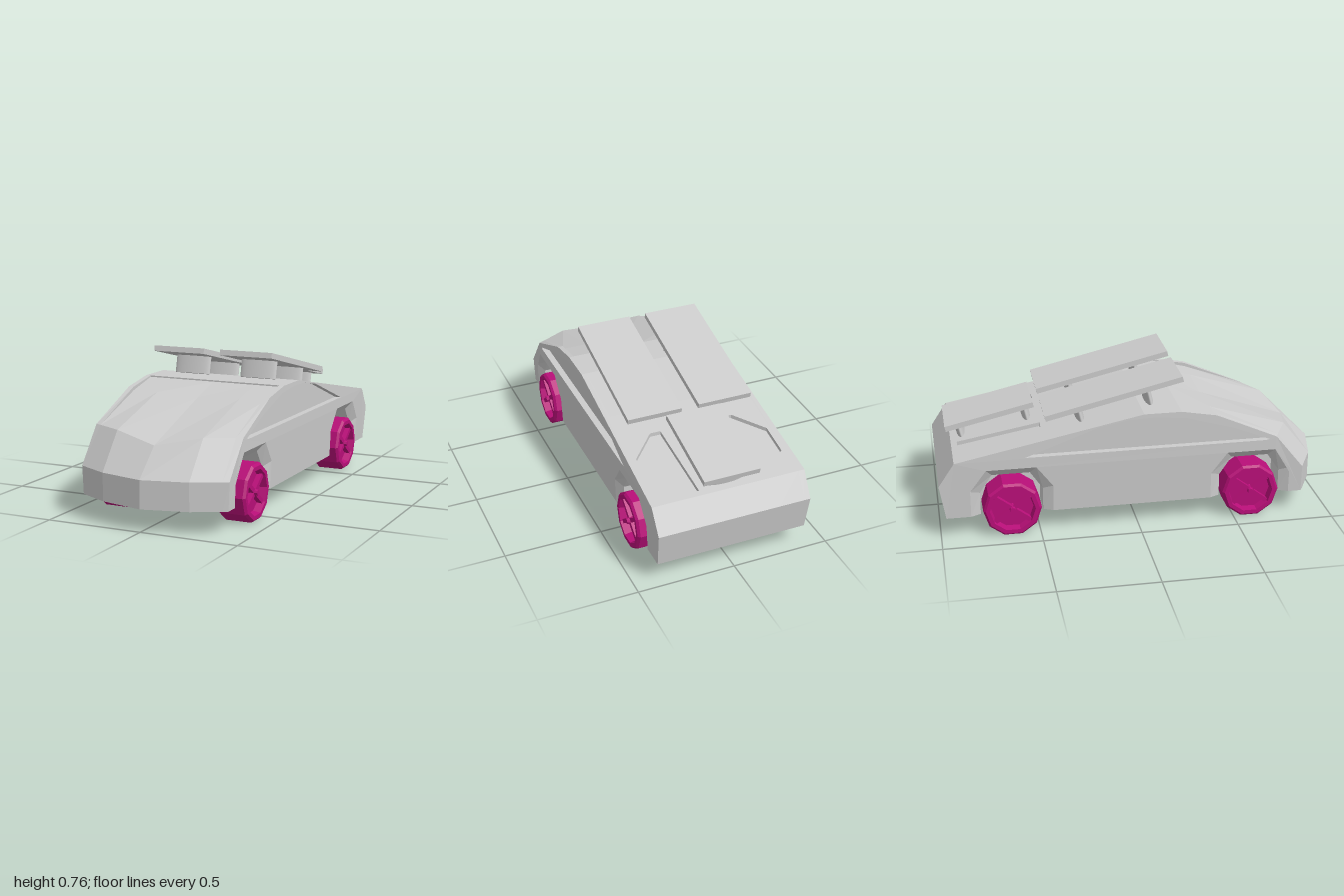
import * as THREE from 'three';

const grey = new THREE.MeshStandardMaterial({ color: 0xcccccc, flatShading: true, side: THREE.DoubleSide });
const smoothGrey = new THREE.MeshStandardMaterial({ color: 0xcccccc });
const pink = new THREE.MeshStandardMaterial({ color: 0xb80f78, flatShading: true });

const AXLES = [0.585, -0.64];
const RIM = 0.365; // inner face of the side panels
const deckY = z => 0.6 - 0.2 * (0.03 - z);
const points = list => list.map(([a, b]) => new THREE.Vector2(a, b));

function add(parent, name, geometry, material) {
  const mesh = new THREE.Mesh(geometry, material);
  mesh.name = name;
  parent.add(mesh);
  return mesh;
}

// Side profile in (z, y), with optional wheel arches and sunken windscreen and deck
function profile(arches, sunken) {
  const p = [[1, 0.11], [1, 0.25], [0.855, 0.43]];
  if (sunken) {
    p.push([0.4, 0.55], [0.22, 0.593], [0.22, 0.6], [0.03, 0.6], [-0.3, deckY(-0.3)],
      [-0.3, deckY(-0.3) - 0.02], [-0.9, deckY(-0.9) - 0.02], [-0.9, deckY(-0.9)]);
  } else {
    p.push([0.4, 0.568], [0.22, 0.6], [0.03, 0.6]);
  }
  p.push([-0.92, 0.41], [-1, 0.29], [-0.97, 0.11]);
  if (arches) {
    for (const c of [...AXLES].reverse()) {
      for (const [dz, y] of [[-0.207, 0.11], [-0.207, 0.25], [-0.125, 0.36], [0.125, 0.36], [0.207, 0.25], [0.207, 0.11]]) {
        p.push([c + dz, y]);
      }
    }
  }
  return new THREE.Shape(points(p));
}

// One lengthwise slice of the body between x0 and x1, shaped by a vertex rule
function slice(shape, x0, x1) {
  const g = new THREE.ExtrudeGeometry(shape, { depth: x1 - x0, bevelEnabled: false });
  g.rotateY(-Math.PI / 2).translate(x1, 0, 0);
  const pos = g.attributes.position;
  for (let i = 0; i < pos.count; i++) {
    let x = pos.getX(i), y = pos.getY(i), z = pos.getZ(i);
    const ax = Math.abs(x);
    // wheel arches narrow inwards
    for (const c of AXLES) {
      if (y < 0.37 && Math.abs(z - c) < 0.22 && ax < 0.38) {
        z = c + (z - c) * 0.76;
        y = 0.11 + (y - 0.11) * 0.84;
      }
    }
    // shallow valley along the middle of the bonnet
    if (ax < 0.001 && z > 0.3 && y > 0.4) y -= z > 0.8 ? 0.045 : 0.01;
    // nose swept back towards the sides
    if (z > 0.82) z -= ax < 0.22 ? ax * 0.227 : 0.05 + (ax - 0.22) * 0.514;
    // slight bulge of the flanks
    if (ax > 0.39) x = Math.sign(x) * (0.4 - 0.04 * Math.abs(y - 0.38));
    pos.setXYZ(i, x, y, z);
  }
  g.computeVertexNormals();
  return g;
}

function buildBody() {
  const body = new THREE.Group();
  body.name = 'body';

  const panel = profile(true, false);
  panel.holes.push(new THREE.Path(points([[0.69, 0.415], [0.4, 0.53], [0.24, 0.566], [0.08, 0.58],
    [-0.05, 0.575], [-0.2, 0.547], [-0.57, 0.415]])));

  for (const s of [1, -1]) {
    const strip = (name, shape, a, b) => add(body, name, slice(shape, Math.min(s * a, s * b), Math.max(s * a, s * b)), grey);
    strip('bodyCore', profile(false, true), 0, 0.23);
    strip('wheelHousing', profile(true, true), 0.23, RIM);
    strip('sidePanel', panel, RIM, 0.395);
  }

  // Rear deck plate with two recessed openings, following the roof slope
  const deck = new THREE.Shape(points([[-RIM, 0.3], [RIM, 0.3], [RIM, 0.9], [-RIM, 0.9]]));
  for (const s of [1, -1]) {
    deck.holes.push(new THREE.Path(points([[0.165, 0.47], [0.22, 0.47], [0.35, 0.61],
      [0.35, 0.77], [0.22, 0.89], [0.145, 0.89]].map(([x, y]) => [s * x, y]))));
  }
  const g = new THREE.ExtrudeGeometry(deck, { depth: 0.02, bevelEnabled: false });
  g.rotateX(-Math.PI / 2);
  const pos = g.attributes.position;
  for (let i = 0; i < pos.count; i++) pos.setY(i, pos.getY(i) - 0.02 + deckY(pos.getZ(i)));
  g.computeVertexNormals();
  add(body, 'rearDeck', g, grey);
  return body;
}

// Tilted flat panel on two oval posts
function buildRoofPanel(name, x, y, z, width, length, postOffsets, tilt) {
  const group = new THREE.Group();
  group.name = name;
  add(group, 'panelBoard', new THREE.BoxGeometry(width, 0.028, length), grey);
  for (const dz of postOffsets) {
    const post = new THREE.CylinderGeometry(0.1, 0.1, 0.1, 32).scale(1, 1, 0.22);
    add(group, 'panelPost', post, smoothGrey).position.set(0, -0.055, dz);
  }
  group.position.set(x, y, z);
  group.rotation.x = -tilt;
  return group;
}

// Ten-sided wheel with a hollow face and crossed spokes, facing +x
function buildWheel() {
  const wheel = new THREE.Group();
  wheel.name = 'wheel';
  const section = points([[0, -0.078], [0.136, -0.078], [0.147, -0.066], [0.147, 0.066],
    [0.136, 0.078], [0.115, 0.078], [0.107, 0.04], [0, 0.04]]);
  add(wheel, 'tyre', new THREE.LatheGeometry(section, 10).rotateZ(-Math.PI / 2), pink);
  for (const a of [0.65, -0.65]) {
    add(wheel, 'spoke', new THREE.BoxGeometry(0.03, 0.022, 0.22), pink).rotation.x = a;
    wheel.children[wheel.children.length - 1].position.x = 0.052;
  }
  const hub = new THREE.CylinderGeometry(0.014, 0.022, 0.045, 8).rotateZ(-Math.PI / 2);
  add(wheel, 'hub', hub, pink).position.x = 0.06;
  return wheel;
}

export function createModel() {
  const model = new THREE.Group();
  model.name = 'car';
  model.add(buildBody());

  for (const s of [1, -1]) {
    model.add(buildRoofPanel('roofPanel', s * 0.188, 0.667, -0.11, 0.285, 0.715, [0.175, -0.185], 0.232));
    for (const z of AXLES) {
      const wheel = buildWheel();
      wheel.position.set(s * 0.334, 0.14, z);
      if (s < 0) wheel.rotation.y = Math.PI;
      model.add(wheel);
    }
  }
  model.add(buildRoofPanel('rearPanel', 0, 0.539, -0.72, 0.29, 0.46, [0.18, -0.165], 0.225));
  return model;
}
